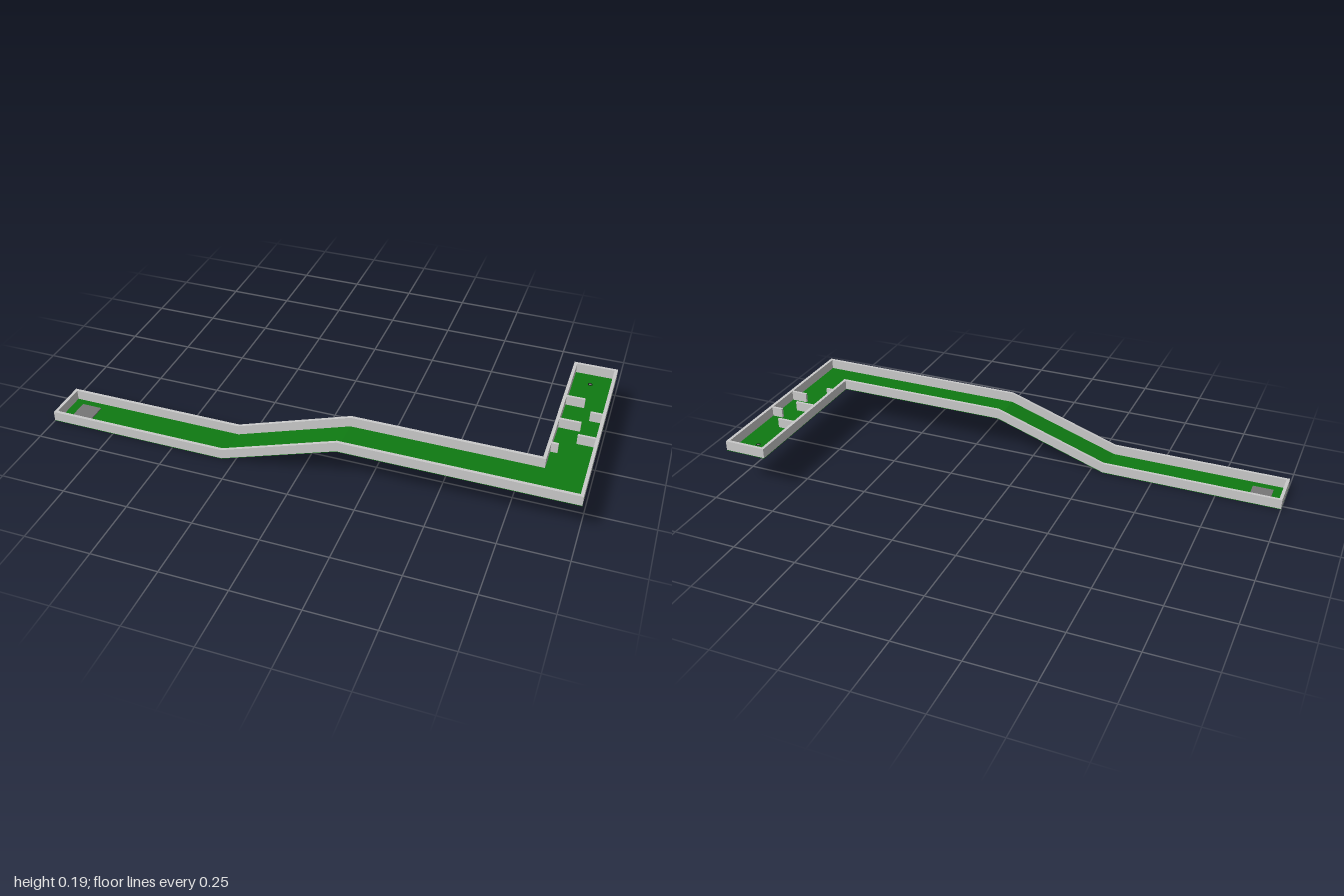
import * as THREE from 'three';

export function createModel() {
  const course = new THREE.Group();
  course.name = 'miniGolfLane';
  const mat = (name, color) => new THREE.MeshStandardMaterial({ name, color });
  const turf = mat('turf green', 0x0f7a12);
  const stone = mat('kerb grey', 0xcacaca);
  const teeGrey = mat('tee grey', 0x777777);
  const cupBlack = mat('cup black', 0x101510);

  const W = 0.012, H = 0.04, FLOOR = 0.002, TOP = 0.15;
  const X0 = -1, X1 = 1, XIN = 0.835;          // lane ends, inner side of the arm
  const ZF = 0.394, ZB = 0.228, ZEND = -0.394; // lane front, lane back, arm end

  const add = (name, geometry, material) => {
    const mesh = new THREE.Mesh(geometry, material);
    mesh.name = name;
    course.add(mesh);
    return mesh;
  };
  // Box given by its limits
  const block = (name, material, x0, x1, y0, y1, z0, z1) =>
    add(name, new THREE.BoxGeometry(x1 - x0, y1 - y0, z1 - z0), material)
      .position.set((x0 + x1) / 2, (y0 + y1) / 2, (z0 + z1) / 2);

  // Band that follows the low, sloped and high parts of the lane
  const band = (name, material, xEnd, lo, hi, z0, z1) => {
    const path = [[X0, 0], [-0.3, 0], [0.145, TOP], [xEnd, TOP]];
    const outline = [
      ...path.map(([x, y]) => new THREE.Vector2(x, y + lo)),
      ...path.map(([x, y]) => new THREE.Vector2(x, y + hi)).reverse(),
    ];
    const g = new THREE.ExtrudeGeometry(new THREE.Shape(outline), { depth: z1 - z0, bevelEnabled: false });
    g.translate(0, 0, z0);
    add(name, g, material);
  };

  // Turf
  band('laneTurf', turf, X1, 0, FLOOR, ZB, ZF);
  block('armTurf', turf, XIN, X1, TOP, TOP + FLOOR, ZEND, ZB);

  // Kerbs
  band('frontKerb', stone, X1, FLOOR, H, ZF - W, ZF);
  band('backKerb', stone, XIN + W, FLOOR, H, ZB, ZB + W);
  block('startKerb', stone, X0, X0 + W, FLOOR, H, ZB + W, ZF - W);
  block('outerArmKerb', stone, X1 - W, X1, TOP + FLOOR, TOP + H, ZEND, ZF - W);
  block('innerArmKerb', stone, XIN, XIN + W, TOP + FLOOR, TOP + H, ZEND, ZB);
  block('endKerb', stone, XIN + W, X1 - W, TOP + FLOOR, TOP + H, ZEND, ZEND + W);

  // Staggered barriers in the arm: [z, x start, x end]
  [
    [-0.16, XIN + W, 0.915], [-0.086, 0.945, X1 - W], [-0.011, XIN + W, 0.925],
    [0.064, 0.925, X1 - W], [0.139, XIN + W, 0.872],
  ].forEach(([z, x0, x1], i) =>
    block(`barrier${i + 1}`, stone, x0, x1, TOP + FLOOR, TOP + H - 0.001, z - 0.005, z + 0.005));

  // Tee mat and cup
  block('teeMat', teeGrey, -0.95, -0.87, FLOOR, FLOOR + 0.004, 0.27, 0.347);
  const ring = add('cupRim', new THREE.RingGeometry(0.005, 0.009, 20), cupBlack);
  const cup = add('cupBase', new THREE.CircleGeometry(0.005, 20), teeGrey);
  for (const part of [ring, cup]) {
    part.rotation.x = -Math.PI / 2;
    part.position.set(0.912, TOP + FLOOR + 0.001, -0.315);
  }
  return course;
}
